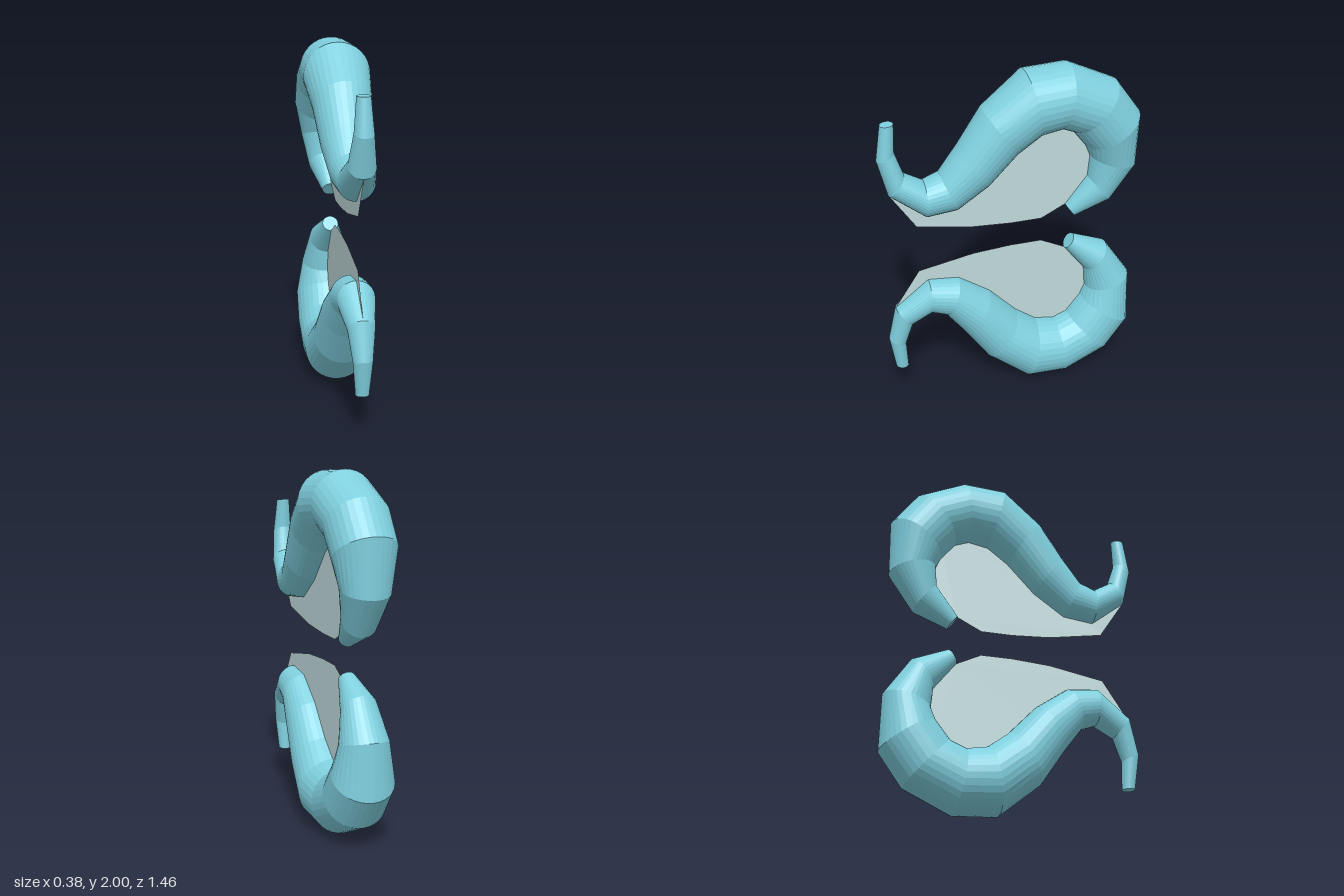
import * as THREE from 'three';

const SIDES = 32;
const MIRROR_Y = 2.005; // lower half is the upper half reflected: y -> MIRROR_Y - y

// Rings along the curl, each a diameter in the x = 0 plane: [zA, yA, zB, yB]
const RINGS = [
  [0.70, 1.78, 0.627, 1.785],
  [0.73, 1.58, 0.634, 1.62],
  [0.68, 1.37, 0.59, 1.487],
  [0.485, 1.215, 0.485, 1.423],
  [0.31, 1.235, 0.40, 1.455],
  [0.13, 1.36, 0.295, 1.595],
  [-0.03, 1.53, 0.158, 1.80],
  [-0.15, 1.62, -0.073, 1.988],
  [-0.265, 1.64, -0.32, 2.0],
  [-0.347, 1.607, -0.59, 1.873],
  [-0.43, 1.50, -0.725, 1.687],
  [-0.457, 1.435, -0.72, 1.37],
  [-0.447, 1.31, -0.575, 1.155],
  [-0.32, 1.145, -0.375, 1.07],
];

// Free edge of the thin web, from the front bend to the blunt end: [z, y]
const WEB_EDGE = [[0.535, 1.147], [0.22, 1.09], [0, 1.075], [-0.18, 1.075]];

const heightFor = (flip) => (y) => (flip ? MIRROR_Y - y : y);

function buildGeometry(points, indices, flip) {
  if (flip) {
    for (let i = 0; i < indices.length; i += 3) {
      [indices[i], indices[i + 1]] = [indices[i + 1], indices[i]];
    }
  }
  const indexed = new THREE.BufferGeometry();
  indexed.setAttribute('position', new THREE.Float32BufferAttribute(points, 3));
  indexed.setIndex(indices);
  const geometry = indexed.toNonIndexed();
  geometry.computeVertexNormals();
  return geometry;
}

// Tapered tube through the rings, closed at both ends
function curlGeometry(flip) {
  const height = heightFor(flip);
  const points = [];
  const indices = [];
  RINGS.forEach(([zA, yA, zB, yB]) => {
    const radius = Math.hypot(zA - zB, yA - yB) / 2;
    for (let j = 0; j < SIDES; j++) {
      const angle = (j / SIDES) * Math.PI * 2;
      const k = (1 + Math.cos(angle)) / 2;
      points.push(-radius * Math.sin(angle), height(yB + (yA - yB) * k), zB + (zA - zB) * k);
    }
  });
  for (let i = 0; i < RINGS.length - 1; i++) {
    for (let j = 0; j < SIDES; j++) {
      const a = i * SIDES + j;
      const b = i * SIDES + ((j + 1) % SIDES);
      indices.push(a, b, b + SIDES, a, b + SIDES, a + SIDES);
    }
  }
  const last = (RINGS.length - 1) * SIDES;
  for (let j = 1; j < SIDES - 1; j++) {
    indices.push(0, j + 1, j, last, last + j, last + j + 1);
  }
  return buildGeometry(points, indices, flip);
}

// Flat web filling the hollow of the curl; its upper border hides inside the tube
function webGeometry(flip) {
  const height = heightFor(flip);
  const centres = RINGS.slice(3, -1).map(([zA, yA, zB, yB]) => [(zA + zB) / 2, (yA + yB) / 2]);
  const outline = [RINGS[2].slice(0, 2), ...WEB_EDGE, RINGS.at(-1).slice(0, 2), ...centres.reverse()];
  const shape = new THREE.Shape(outline.map(([z, y]) => new THREE.Vector2(-z, height(y))));
  return new THREE.ShapeGeometry(shape).rotateY(Math.PI / 2);
}

export function createModel() {
  const curlMaterial = new THREE.MeshStandardMaterial({ color: 0x7fcfde, flatShading: true });
  const webMaterial = new THREE.MeshStandardMaterial({ color: 0xbfd9da, side: THREE.DoubleSide });
  const model = new THREE.Group();
  model.name = 'mirroredCurls';
  for (const flip of [false, true]) {
    const half = new THREE.Group();
    half.name = flip ? 'lowerHalf' : 'upperHalf';
    const curl = new THREE.Mesh(curlGeometry(flip), curlMaterial);
    curl.name = flip ? 'lowerCurl' : 'upperCurl';
    const web = new THREE.Mesh(webGeometry(flip), webMaterial);
    web.name = flip ? 'lowerWeb' : 'upperWeb';
    half.add(curl, web);
    model.add(half);
  }
  return model;
}
